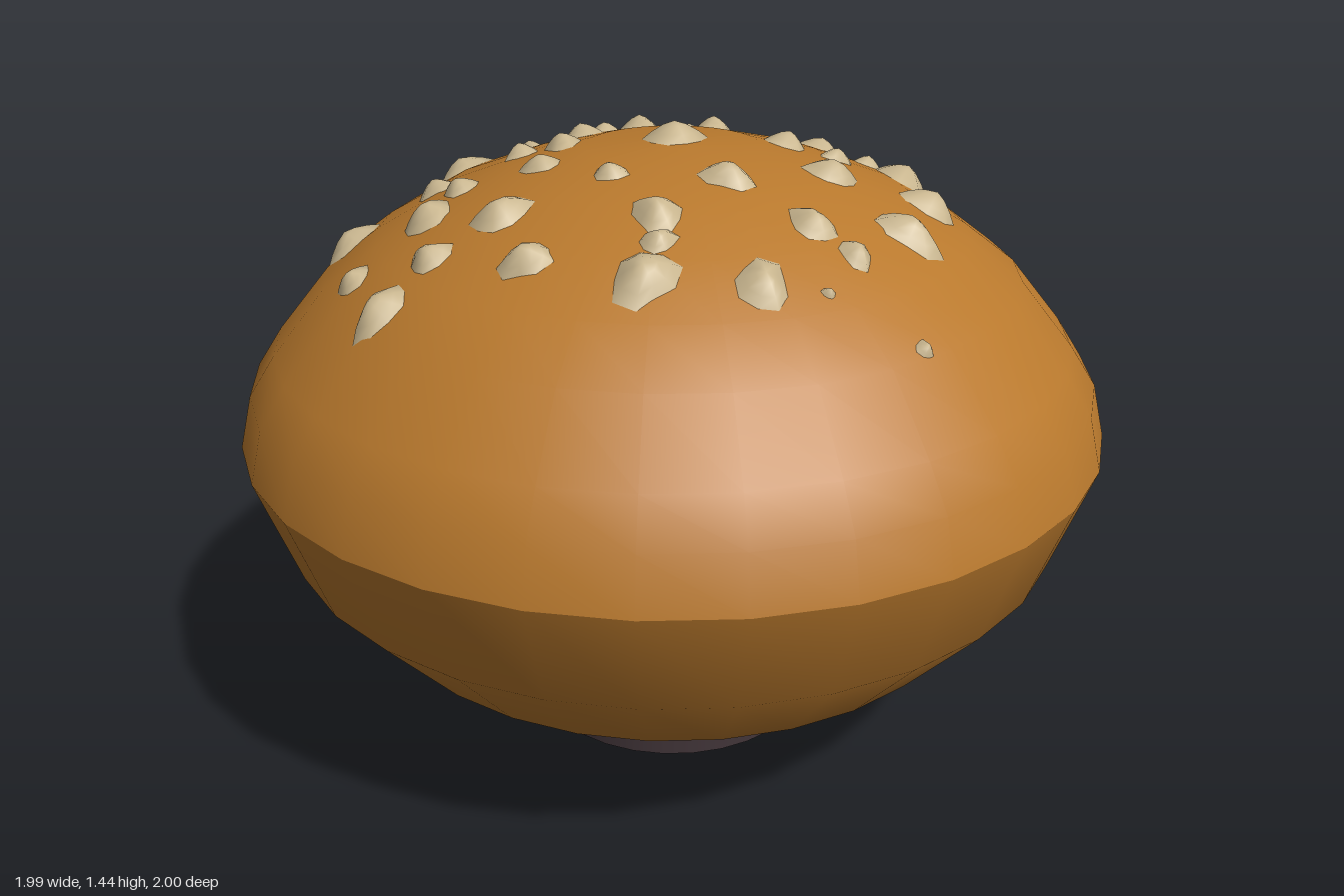
import * as THREE from 'three';
import { mergeGeometries, mergeVertices } from 'three/addons/utils/BufferGeometryUtils.js';

const SIDES = 30;
const vec = (pairs) => pairs.map(([r, y]) => new THREE.Vector2(r, y));

// Profiles as [radius, height], bottom to top
const BELLY = [[0.35, 0.115], [0.57, 0.21], [0.73, 0.31], [0.91, 0.51], [1, 0.76]];
const DOME = [[1, 0.76], [0.97, 0.88], [0.91, 0.97], [0.79, 1.115], [0.67, 1.205], [0.53, 1.285],
  [0.37, 1.345], [0.2, 1.39], [0, 1.4]];

// Seeds as x, z, radius
const SEEDS = [
  -0.44, -0.58, 0.06, -0.23, -0.54, 0.07, 0, -0.61, 0.045, -0.03, -0.48, 0.05, 0.12, -0.49, 0.035,
  0.21, -0.52, 0.07, 0.39, -0.42, 0.07, -0.43, -0.42, 0.055, -0.33, -0.31, 0.04, -0.54, -0.22, 0.065,
  -0.15, -0.24, 0.05, 0.09, -0.26, 0.055, 0.17, -0.34, 0.04, 0.29, -0.21, 0.06, 0.52, -0.22, 0.07,
  -0.65, -0.05, 0.055, -0.28, -0.12, 0.055, -0.37, -0.08, 0.04, -0.02, -0.02, 0.07, 0.25, 0.05, 0.06,
  0.46, 0, 0.055, 0.56, -0.03, 0.04, 0.77, -0.02, 0.02, -0.65, 0.07, 0.04, -0.46, 0.08, 0.03,
  -0.28, 0.05, 0.05, -0.2, 0.16, 0.05, -0.28, 0.22, 0.045, -0.54, 0.22, 0.065, -0.11, 0.28, 0.045,
  0.08, 0.23, 0.04, 0.28, 0.26, 0.06, 0.55, 0.21, 0.06, 0.41, 0.39, 0.07, 0.62, 0.1, 0.015,
  -0.34, 0.41, 0.045, -0.24, 0.41, 0.045, -0.19, 0.52, 0.06, -0.46, 0.57, 0.06, 0.01, 0.46, 0.065,
  0.19, 0.52, 0.055, -0.03, 0.61, 0.05, -0.21, 0.7, 0.04, -0.02, 0.74, 0.06, 0.35, 0.31, 0.04,
];

// Height of the dome at a distance from the axis
function domeHeight(r) {
  for (let i = 1; i < DOME.length; i++) {
    const [r0, y0] = DOME[i - 1], [r1, y1] = DOME[i];
    if (r >= r1) return y1 + (y0 - y1) * (r - r1) / (r0 - r1);
  }
  return 1.4;
}

// A low irregular bump draped over the dome
function seedGeometry(x, z, radius, index) {
  const geo = new THREE.ConeGeometry(1, 1, 9, 3, true);
  const dist = Math.hypot(x, z);
  const slope = (domeHeight(dist + 0.05) - domeHeight(Math.max(0, dist - 0.05))) / 0.1;
  const normal = new THREE.Vector3(-slope * x, Math.max(dist, 0.001), -slope * z).normalize();
  const pos = geo.attributes.position, p = new THREE.Vector3();
  for (let i = 0; i < pos.count; i++) {
    p.fromBufferAttribute(pos, i);
    const t = Math.hypot(p.x, p.z), a = Math.atan2(p.z, p.x);
    const wobble = radius * (1 + 0.13 * Math.sin(2 * a + index * 1.7) + 0.12 * Math.sin(3 * a + index * 2.9));
    const px = x + p.x * wobble, pz = z + p.z * wobble;
    const lift = -0.004 + (1 - t ** 1.5) * (0.008 + radius * 0.52);
    p.set(px, domeHeight(Math.hypot(px, pz)), pz).addScaledVector(normal, lift);
    pos.setXYZ(i, p.x, p.y, p.z);
  }
  geo.deleteAttribute('normal');
  geo.deleteAttribute('uv');
  const merged = mergeVertices(geo, 1e-5);
  merged.computeVertexNormals();
  return merged;
}

export function createModel() {
  const crust = new THREE.MeshStandardMaterial({ name: 'golden crust', color: 0xb9792d });
  const dark = new THREE.MeshStandardMaterial({ name: 'dark base', color: 0x43363a });
  const cream = new THREE.MeshStandardMaterial({ name: 'cream seed', color: 0xc9b68f });

  const model = new THREE.Group();
  model.name = 'seededBun';
  const add = (name, geometry, material) => {
    const mesh = new THREE.Mesh(geometry, material);
    mesh.name = name;
    model.add(mesh);
    return mesh;
  };

  // Two halves keep a crease along the widest line
  add('lowerBody', new THREE.LatheGeometry(vec(BELLY), SIDES), crust);
  add('upperDome', new THREE.LatheGeometry(vec(DOME), SIDES), crust);

  // Short foot
  add('foot', new THREE.CylinderGeometry(0.35, 0.343, 0.115, SIDES), dark).position.y = 0.0575;

  // Collar with a ragged lower edge
  const collar = new THREE.CylinderGeometry(0.352, 0.352, 0.02, 60, 1, true);
  const pos = collar.attributes.position;
  for (let i = 0; i < pos.count; i++) {
    if (pos.getY(i) > 0) continue;
    const a = Math.atan2(pos.getZ(i), pos.getX(i));
    pos.setY(i, -0.004 + 0.005 * Math.sin(7 * a) + 0.006 * Math.sin(19 * a + 1));
  }
  add('raggedCollar', collar, crust).position.y = 0.107;

  // Scattered seeds
  const seeds = [];
  for (let i = 0; i < SEEDS.length; i += 3) seeds.push(seedGeometry(SEEDS[i], SEEDS[i + 1], SEEDS[i + 2], i));
  add('seeds', mergeGeometries(seeds), cream);

  return model;
}
